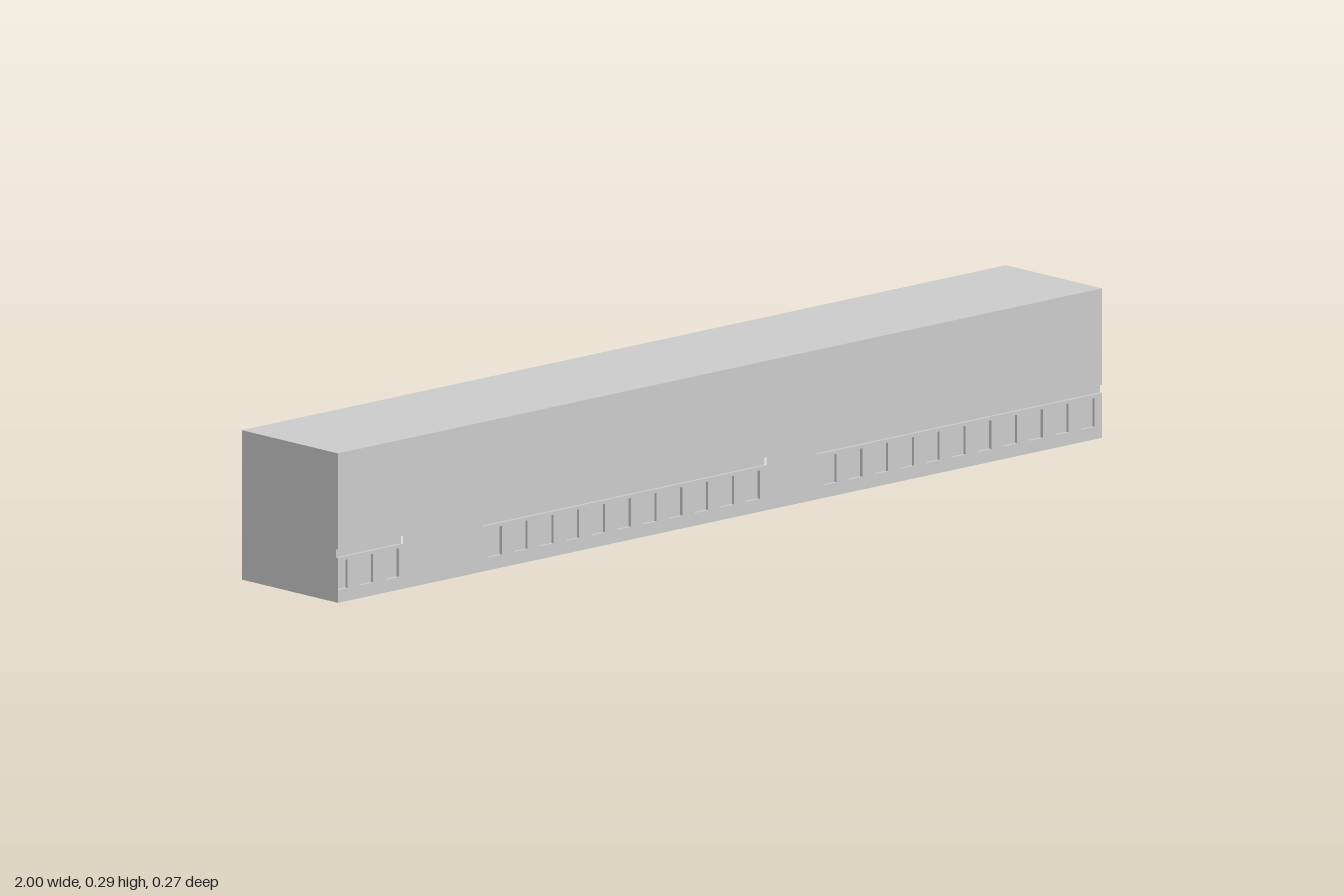
import * as THREE from 'three';

const X = 1, H = 0.292, Z = 0.133, DEPTH = 0.006;
const GROOVE = [0.088, 0.104], WINDOW = [0.025, 0.081];
const PITCH = 0.0675, WIDTH = 0.035;

const material = new THREE.MeshStandardMaterial({ color: 0xcccccc, side: THREE.DoubleSide, flatShading: true });

function polygon(points, Type = THREE.Shape) {
  return new Type(points.map(([a, b]) => new THREE.Vector2(a, b)));
}

function rectangle(x0, x1, y0, y1) {
  return [[x0, y0], [x1, y0], [x1, y1], [x0, y1]];
}

export function createModel() {
  const model = new THREE.Group();

  function add(name, geometry, parent = model) {
    const mesh = new THREE.Mesh(geometry, material);
    mesh.name = name;
    parent.add(mesh);
    return mesh;
  }

  // Flat sheet placed at a point and turned
  function sheet(name, w, h, position, rotation, parent) {
    const mesh = add(name, new THREE.PlaneGeometry(w, h), parent);
    mesh.position.set(...position);
    mesh.rotation.set(...rotation);
  }

  // Shallow pocket behind the front wall, optionally without its two ends
  function pocket(name, x0, x1, [y0, y1], openEnds) {
    const group = new THREE.Group();
    group.name = name;
    model.add(group);
    const w = x1 - x0, h = y1 - y0, cx = (x0 + x1) / 2, cy = (y0 + y1) / 2, cz = Z - DEPTH / 2;
    sheet('pocketBack', w, h, [cx, cy, Z - DEPTH], [0, 0, 0], group);
    sheet('pocketSill', w, DEPTH, [cx, y0, cz], [-Math.PI / 2, 0, 0], group);
    sheet('pocketHead', w, DEPTH, [cx, y1, cz], [Math.PI / 2, 0, 0], group);
    if (openEnds) return;
    sheet('pocketJamb', DEPTH, h, [x0, cy, cz], [0, Math.PI / 2, 0], group);
    sheet('pocketJamb', DEPTH, h, [x1, cy, cz], [0, -Math.PI / 2, 0], group);
  }

  // Three rows of windows, each under a long groove; the outer rows run off the ends
  const grooves = [[-X, -0.83], [-0.622, 0.122], [0.253, X]];
  const windows = [[-X, -0.975]];
  for (const [start, count] of [[-0.943, 2], [-0.606, 11], [0.27, 11]]) {
    for (let i = 0; i < count; i++) windows.push([start + i * PITCH, start + i * PITCH + WIDTH]);
  }

  // Front wall, notched where a groove or window meets an end
  const [g0, g1] = GROOVE, [w0, w1] = WINDOW;
  const leftGroove = grooves[0][1], rightGroove = grooves[2][0], cutWindow = windows[0][1];
  const wall = polygon([
    [-X, 0], [X, 0],
    [X, g0], [rightGroove, g0], [rightGroove, g1], [X, g1],
    [X, H], [-X, H],
    [-X, g1], [leftGroove, g1], [leftGroove, g0], [-X, g0],
    [-X, w1], [cutWindow, w1], [cutWindow, w0], [-X, w0],
  ]);
  wall.holes.push(polygon(rectangle(...grooves[1], g0, g1), THREE.Path));
  for (const w of windows.slice(1)) wall.holes.push(polygon(rectangle(...w, w0, w1), THREE.Path));
  add('frontWall', new THREE.ShapeGeometry(wall)).position.z = Z;

  for (const g of grooves) pocket('groove', ...g, GROOVE, true);
  for (const w of windows) pocket('window', ...w, WINDOW, false);

  // Roof and floor; the back stays open
  sheet('roof', 2 * X, 2 * Z, [0, H, 0], [-Math.PI / 2, 0, 0]);
  sheet('floor', 2 * X, 2 * Z, [0, 0, 0], [Math.PI / 2, 0, 0]);

  // End walls with the groove profile cut from the front edge
  const profile = polygon([
    [-Z, 0], [Z, 0], [Z, g0], [Z - DEPTH, g0], [Z - DEPTH, g1], [Z, g1], [Z, H], [-Z, H],
  ]);
  for (const side of [-1, 1]) {
    const end = add(side > 0 ? 'leftEnd' : 'rightEnd', new THREE.ShapeGeometry(profile));
    end.rotation.y = -Math.PI / 2;
    end.position.x = side * X;
  }

  return model;
}
